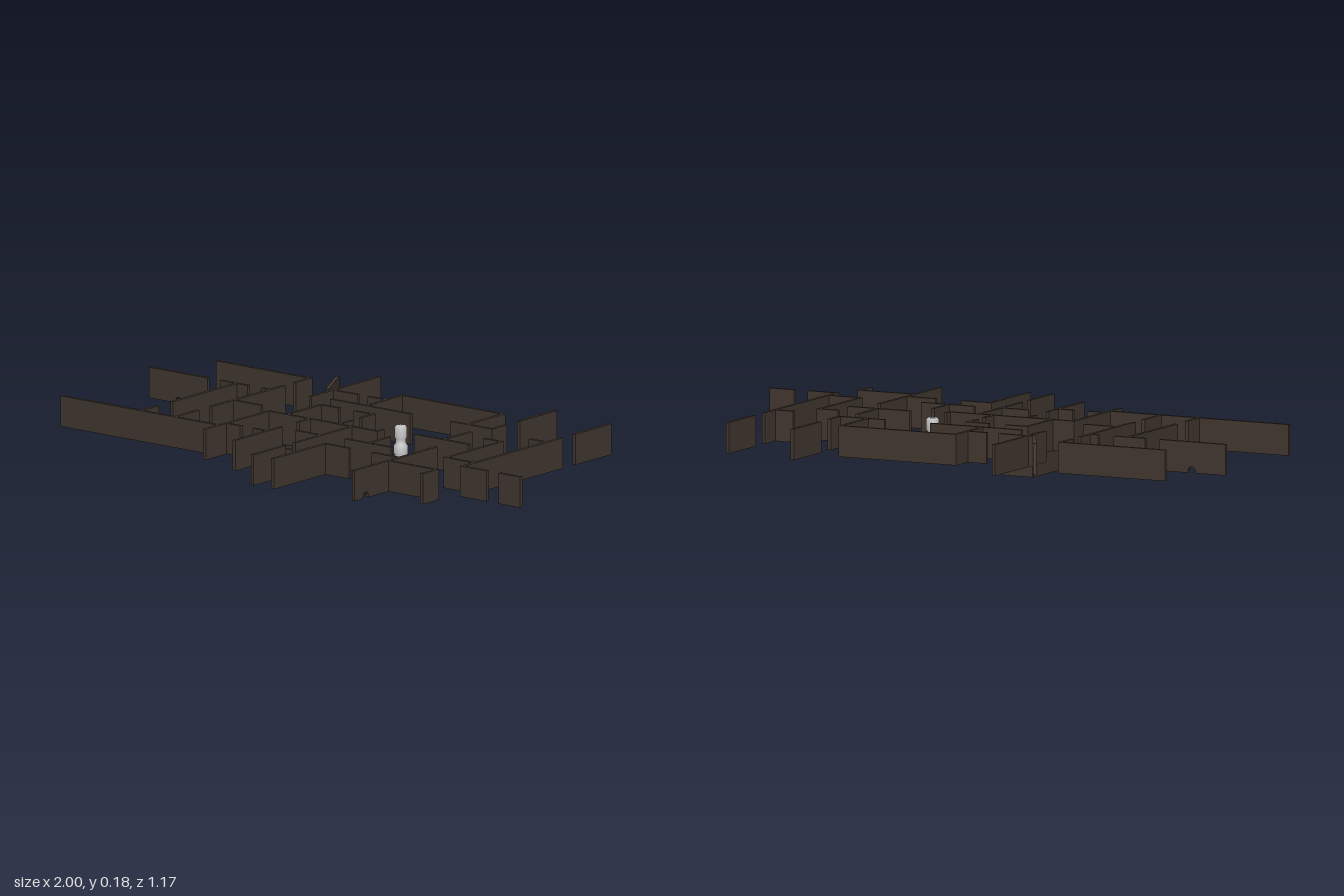
import * as THREE from 'three';

const FLOOR = 0.075, HEIGHT = 0.107, THICK = 0.0125;

// Upright wall between two plan points; an optional arched hole sits at a distance along its foot
function wall(name, material, [x1, z1, x2, z2, hole], base = FLOOR, height = HEIGHT, thick = THICK) {
  const length = Math.hypot(x2 - x1, z2 - z1);
  let geometry;
  if (hole) {
    const r = 0.014, shape = new THREE.Shape();
    shape.moveTo(0, 0);
    shape.lineTo(hole - r, 0);
    shape.lineTo(hole - r, 0.007);
    shape.absarc(hole, 0.007, r, Math.PI, 0, true);
    shape.lineTo(hole + r, 0);
    shape.lineTo(length, 0);
    shape.lineTo(length, height);
    shape.lineTo(0, height);
    geometry = new THREE.ExtrudeGeometry(shape, { depth: thick, bevelEnabled: false, curveSegments: 8 });
    geometry.translate(-length / 2, -height / 2, -thick / 2);
  } else {
    geometry = new THREE.BoxGeometry(length, height, thick);
  }
  const mesh = new THREE.Mesh(geometry, material);
  mesh.name = name;
  mesh.position.set((x1 + x2) / 2, base + height / 2, (z1 + z2) / 2);
  mesh.rotation.y = -Math.atan2(z2 - z1, x2 - x1);
  return mesh;
}

export function createModel() {
  const model = new THREE.Group();
  model.name = 'floorPlan';
  const dark = new THREE.MeshStandardMaterial({ color: 0x40362e });
  const grey = new THREE.MeshStandardMaterial({ color: 0xcccccc });

  // Walls running across: z, x start, x end, hole
  const across = [
    [-0.42, -0.88, -0.47], [-0.205, -1, -0.745, 0.13], [-0.205, -0.69, -0.57], [-0.205, -0.51, -0.47],
    [-0.005, -0.475, -0.35], [0.313, -0.97, -0.28], [0.045, -0.28, 0.2],
    [-0.335, -0.33, -0.195], [-0.335, -0.15, -0.07], [-0.42, -0.078, 0.374],
    [-0.225, -0.225, 0.125], [-0.225, 0.3, 0.482], [-0.19, 0.67, 0.744],
    [-0.1, 0.545, 0.626], [0.2, 0.614, 0.745], [0.265, 0.738, 0.853], [0.265, 0.905, 1],
    [0, 0.322, 0.56], [0.2, 0.18, 0.383], [0.3, 0.166, 0.28], [0.3, 0.38, 0.496],
    [0.36, 0.496, 0.712], [0.21, -0.025, 0.083], [0.275, -0.16, -0.1], [0.275, -0.28, -0.215],
    [-0.14, -0.206, -0.12], [-0.14, -0.055, 0.033],
  ];
  // Walls running front to back: x, z start, z end, hole
  const along = [
    [-0.475, -0.426, -0.335], [-0.475, -0.28, 0.12], [-0.622, -0.205, 0.147], [-0.622, 0.225, 0.313],
    [-0.475, 0.187, 0.313], [-0.28, 0.039, 0.393], [0.195, 0.015, 0.05],
    [-0.305, -0.585, -0.21], [-0.072, -0.426, -0.225], [0.368, -0.426, -0.225],
    [0.476, -0.3, -0.219], [0.476, -0.57, -0.37], [0.744, -0.535, -0.338], [0.744, -0.272, 0.271],
    [0.62, -0.106, 0.206], [0.447, -0.15, 0], [0.28, 0.085, 0.2],
    [0.496, 0.1, 0.55, 0.39], [0.172, 0.294, 0.585], [0.706, 0.354, 0.44],
    [0.083, 0.045, 0.358], [0.083, 0.41, 0.585], [-0.1, 0.045, 0.11], [-0.1, 0.2, 0.457],
    [0.027, -0.146, -0.07], [0.027, -0.025, 0.045], [-0.2, -0.146, 0.045],
  ];
  const walls = new THREE.Group();
  walls.name = 'walls';
  for (const [z, a, b, hole] of across) walls.add(wall('crossWall', dark, [a, z, b, z, hole]));
  for (const [x, a, b, hole] of along) walls.add(wall('sideWall', dark, [x, a, x, b, hole]));
  walls.add(wall('slantedWall', dark, [-0.417, -0.497, -0.33, -0.335]));
  model.add(walls);

  // Sunken stairwell below the floor level
  const well = new THREE.Group();
  well.name = 'stairwell';
  const L = -0.198, R = -0.087, B = -0.094, F = 0.088;
  for (const side of [[L, B, R, B], [L, B, L, F], [R, B, R, F]])
    well.add(wall('stairwellSide', dark, side, 0, FLOOR, 0.004));
  well.add(wall('stairwellFront', dark, [L - 0.002, F, R + 0.002, F], 0, FLOOR));
  model.add(well);

  // Stacked round pillar with a narrow neck
  const profile = [[0, 0.05], [0.021, 0.05], [0.021, 0.078], [0.025, 0.08], [0.025, 0.108], [0.018, 0.116],
    [0.018, 0.132], [0.022, 0.137], [0.022, 0.172], [0.016, 0.178], [0, 0.178]];
  const pillar = new THREE.Mesh(
    new THREE.LatheGeometry(profile.map(([r, y]) => new THREE.Vector2(r, y)), 16), grey);
  pillar.name = 'pillar';
  pillar.position.set(0.194, 0, -0.082);
  model.add(pillar);

  return model;
}
